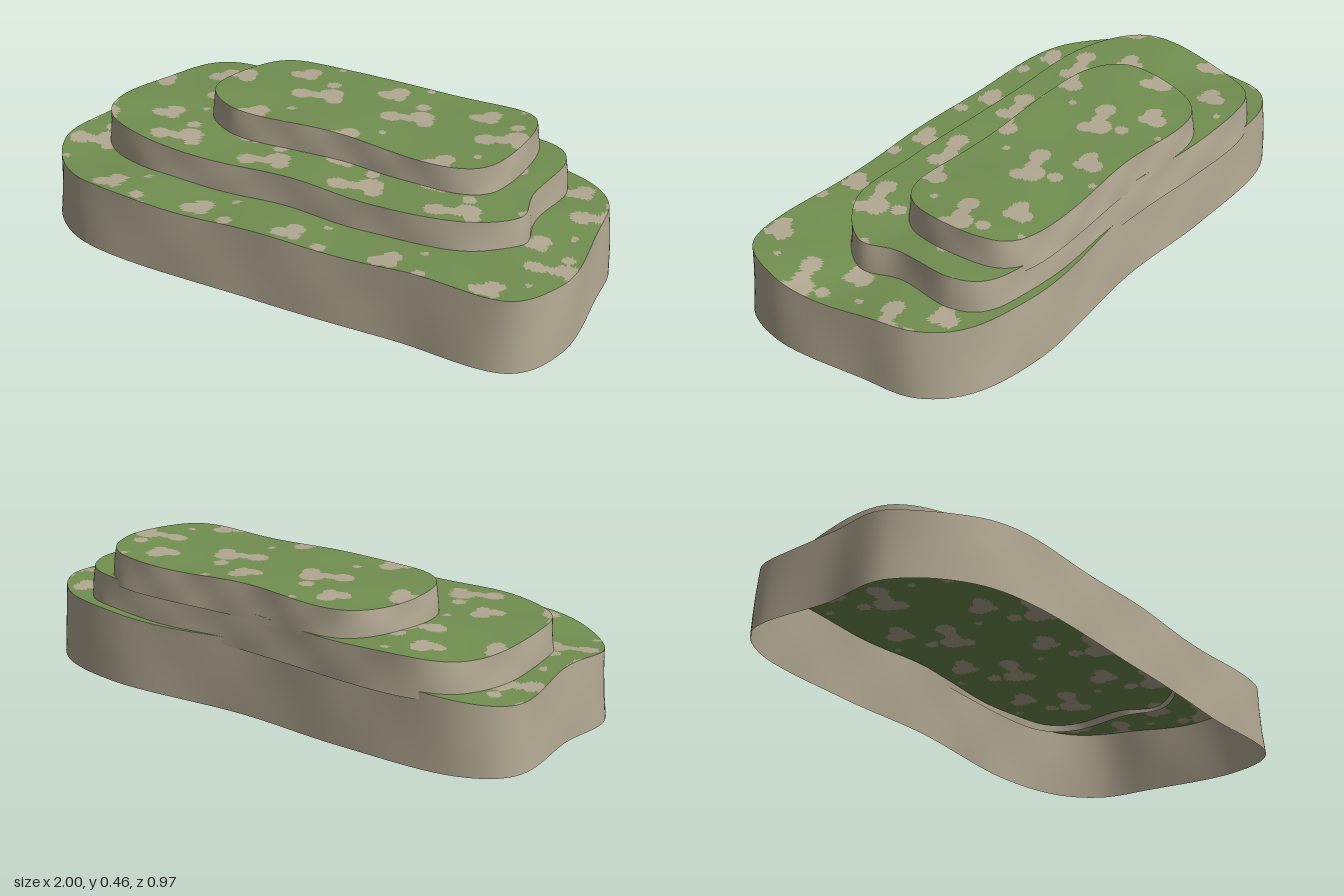
import * as THREE from 'three';

const SEGMENTS = 300;
const TILE = 0.36;

// Stone patch lobes within one repeating tile: x, z, half width, half depth
const LOBES = [
  [0.012, -0.02, 0.035, 0.032], [-0.015, 0.018, 0.042, 0.028], [0.03, 0.02, 0.02, 0.025],
  [0.135, 0.04, 0.025, 0.025], [0.07, 0.155, 0.04, 0.034], [0.12, 0.14, 0.045, 0.022],
  [0.165, 0.11, 0.045, 0.042], [0.195, 0.145, 0.03, 0.03], [0.1, 0.275, 0.013, 0.013],
];
const wrap = (d) => d - TILE * Math.round(d / TILE);
const isPatch = (x, z) => LOBES.some(([lx, lz, rx, rz]) =>
  Math.hypot(wrap(x + 0.283 - lx) / rx, wrap(z + 0.32 - lz) / rz) < 1);

// Gentle rise and fall of the ground
const unevenness = (x, z) => 0.014 * x * Math.cos(9.2 * (z + 0.28)) + 0.005 * Math.cos(10 * x);

// Closed band through rows of points; the second group takes the patch faces
function bandGeometry(rows, patchTest) {
  const n = rows[0].length;
  const points = rows.flat();
  const plain = [], patched = [];
  const addFace = (...face) => {
    const x = face.reduce((s, i) => s + points[i].x, 0) / 3;
    const z = face.reduce((s, i) => s + points[i].z, 0) / 3;
    (patchTest(x, z) ? patched : plain).push(...face);
  };
  for (let r = 0; r < rows.length - 1; r++) {
    for (let i = 0; i < n; i++) {
      const a = r * n + i, b = r * n + (i + 1) % n;
      addFace(a, a + n, b);
      addFace(b, a + n, b + n);
    }
  }
  const geometry = new THREE.BufferGeometry().setFromPoints(points);
  geometry.setIndex([...plain, ...patched]);
  geometry.addGroup(0, plain.length, 0);
  geometry.addGroup(plain.length, patched.length, 1);
  geometry.computeVertexNormals();
  return geometry;
}

function buildTier(name, base, level, flare, rings, rim, grass, stone) {
  const curve = new THREE.CatmullRomCurve3(
    rim.map(([x, z]) => new THREE.Vector3(x, 0, z)), true);
  curve.arcLengthDivisions = 600;
  const edge = curve.getSpacedPoints(SEGMENTS).slice(0, SEGMENTS);
  for (const p of edge) p.y = level + unevenness(p.x, p.z);

  // Rock wall, flaring outward and slightly rippled
  const wallRows = [0, 0.33, 0.67, 1].map((t) => edge.map((p, i) => {
    const next = edge[(i + 1) % SEGMENTS];
    const prev = edge[(i + SEGMENTS - 1) % SEGMENTS];
    const length = Math.hypot(next.x - prev.x, next.z - prev.z);
    const ripple = 0.004 * Math.sin(i * Math.PI * 22 / SEGMENTS) * Math.sin(t * Math.PI);
    const out = flare * (1 - t) + ripple;
    return new THREE.Vector3(
      p.x + out * (next.z - prev.z) / length,
      base + (p.y - base) * t,
      p.z - out * (next.x - prev.x) / length);
  }));

  // Ground, closing from the rim onto a central spine
  const centre = new THREE.Box3().setFromPoints(edge).getCenter(new THREE.Vector3());
  const groundRows = [];
  for (let r = 0; r <= rings; r++) {
    const t = r / rings;
    groundRows.push(edge.map((p) => new THREE.Vector3(
      THREE.MathUtils.lerp(p.x, centre.x + (p.x - centre.x) * 0.6, t),
      THREE.MathUtils.lerp(p.y, level, THREE.MathUtils.smoothstep(t, 0, 1)),
      THREE.MathUtils.lerp(p.z, centre.z, t))));
  }

  const tier = new THREE.Group();
  tier.name = name;
  const wall = new THREE.Mesh(bandGeometry(wallRows, () => false), [stone, stone]);
  wall.name = 'rockWall';
  const ground = new THREE.Mesh(bandGeometry(groundRows, isPatch), [grass, stone]);
  ground.name = 'patchyGround';
  tier.add(wall, ground);
  return tier;
}

export function createModel() {
  const grass = new THREE.MeshStandardMaterial({ color: 0x728f50, side: THREE.DoubleSide });
  grass.name = 'grassGreen';
  const stone = new THREE.MeshStandardMaterial({ color: 0xb2a892, side: THREE.DoubleSide });
  stone.name = 'stoneBeige';

  // Rims run along the back, down the left, along the front and up the right
  const lowerRim = [
    [-0.96, -0.31], [-0.83, -0.41], [-0.4, -0.44], [0, -0.425], [0.54, -0.465],
    [0.8, -0.405], [0.915, -0.29], [0.95, -0.1], [0.983, 0.25], [0.9, 0.425],
    [0.5, 0.445], [0, 0.465], [-0.77, 0.43], [-0.975, 0.23], [-0.96, 0]];
  const middleRim = [
    [-0.81, -0.3], [-0.7, -0.42], [0, -0.42], [0.67, -0.4], [0.745, -0.3], [0.735, -0.06],
    [0.76, 0.08], [0.62, 0.225], [0.3, 0.262], [0, 0.252], [-0.62, 0.248], [-0.84, 0.12]];
  const upperRim = [
    [-0.485, -0.28], [-0.39, -0.4], [0, -0.412], [0.56, -0.41], [0.63, -0.3],
    [0.605, -0.02], [0.52, 0.05], [0.1, 0.045], [-0.38, 0.05], [-0.5, -0.05]];

  const model = new THREE.Group();
  model.name = 'terracedHill';
  model.add(
    buildTier('lowerTerrace', 0, 0.248, 0.016, 44, lowerRim, grass, stone),
    buildTier('middleTerrace', 0.225, 0.352, 0.012, 36, middleRim, grass, stone),
    buildTier('upperTerrace', 0.335, 0.446, 0.012, 28, upperRim, grass, stone));
  return model;
}
